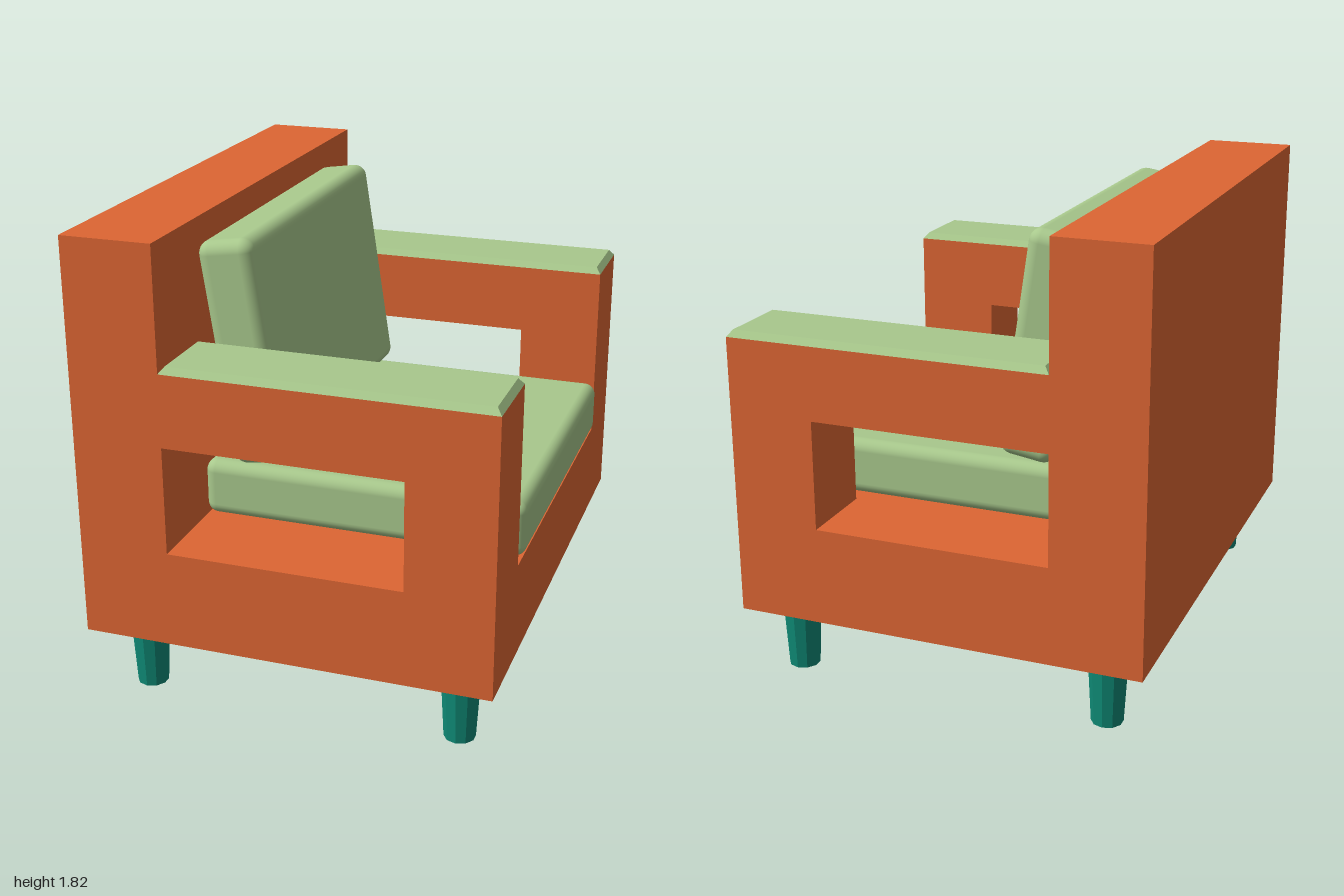
import * as THREE from 'three';
import { RoundedBoxGeometry } from 'three/addons/geometries/RoundedBoxGeometry.js';

const BACK = -0.8, INNER = -0.45, FRONT = 0.785;
const BOTTOM = 0.275, SEAT = 0.65, ARM = 1.35, TOP = 1.82;
const ARM_IN = 0.68, ARM_OUT = 1;

const paint = (color, flatShading = false) => new THREE.MeshStandardMaterial({ color, flatShading });

function add(parent, name, geometry, material, x = 0, y = 0, z = 0) {
  const mesh = new THREE.Mesh(geometry, material);
  mesh.name = name;
  mesh.position.set(x, y, z);
  parent.add(mesh);
  return mesh;
}

const points = (list) => list.map(([x, y]) => new THREE.Vector2(x, y));

// Side outline of the frame: tall back at -x, lower block of the given height in front
function frameProfile(height) {
  return new THREE.Shape(points([
    [BACK, BOTTOM], [FRONT, BOTTOM], [FRONT, height], [INNER, height], [INNER, TOP], [BACK, TOP],
  ]));
}

// Box whose top face is drawn in to make a chamfered slab
function chamferedSlab(w, h, d, inset) {
  const geometry = new THREE.BoxGeometry(w, h, d);
  const p = geometry.attributes.position;
  for (let i = 0; i < p.count; i++) {
    if (p.getY(i) > 0) {
      p.setX(i, p.getX(i) - Math.sign(p.getX(i)) * inset);
      p.setZ(i, p.getZ(i) - Math.sign(p.getZ(i)) * inset);
    }
  }
  geometry.computeVertexNormals();
  return geometry;
}

export function createModel() {
  const chair = new THREE.Group();
  chair.name = 'armchair';
  const orange = paint(0xdd6633, true);
  const green = paint(0xa8c88c);
  const greenFlat = paint(0xa8c88c, true);
  const teal = paint(0x0f8a76, true);

  // Middle of the frame: seat base and backrest
  const middle = new THREE.ExtrudeGeometry(frameProfile(SEAT), { depth: 2 * ARM_IN, bevelEnabled: false });
  add(chair, 'seatBaseAndBack', middle, orange, 0, 0, -ARM_IN);

  // Frame sides with an open window under each armrest
  const sideShape = frameProfile(ARM);
  sideShape.holes.push(new THREE.Path(points([
    [INNER, SEAT], [INNER, 1.07], [0.455, 1.07], [0.455, SEAT],
  ])));
  const side = new THREE.ExtrudeGeometry(sideShape, { depth: ARM_OUT - ARM_IN, bevelEnabled: false });
  const pad = chamferedSlab(FRONT - INNER, 0.025, ARM_OUT - ARM_IN, 0.02);
  const leg = new THREE.CylinderGeometry(0.075, 0.06, BOTTOM, 10);

  for (const [label, s] of [['front', 1], ['rear', -1]]) {
    add(chair, `${label}ArmFrame`, side, orange, 0, 0, s > 0 ? ARM_IN : -ARM_OUT);
    add(chair, `${label}ArmPad`, pad, greenFlat, (INNER + FRONT) / 2, ARM + 0.0125, s * (ARM_IN + ARM_OUT) / 2);
    for (const x of [-0.62, 0.625]) {
      add(chair, `${label}Leg`, leg, teal, x, BOTTOM / 2, s * 0.833);
    }
  }

  // Loose cushions, the back one leaning on the backrest
  add(chair, 'seatCushion', new RoundedBoxGeometry(1.25, 0.22, 1.315, 4, 0.045), green, 0.175, 0.77, 0);
  const back = add(chair, 'backCushion', new RoundedBoxGeometry(0.22, 0.865, 1.315, 4, 0.05), green, -0.283, 1.317, 0);
  back.rotation.z = THREE.MathUtils.degToRad(8.5);

  return chair;
}
